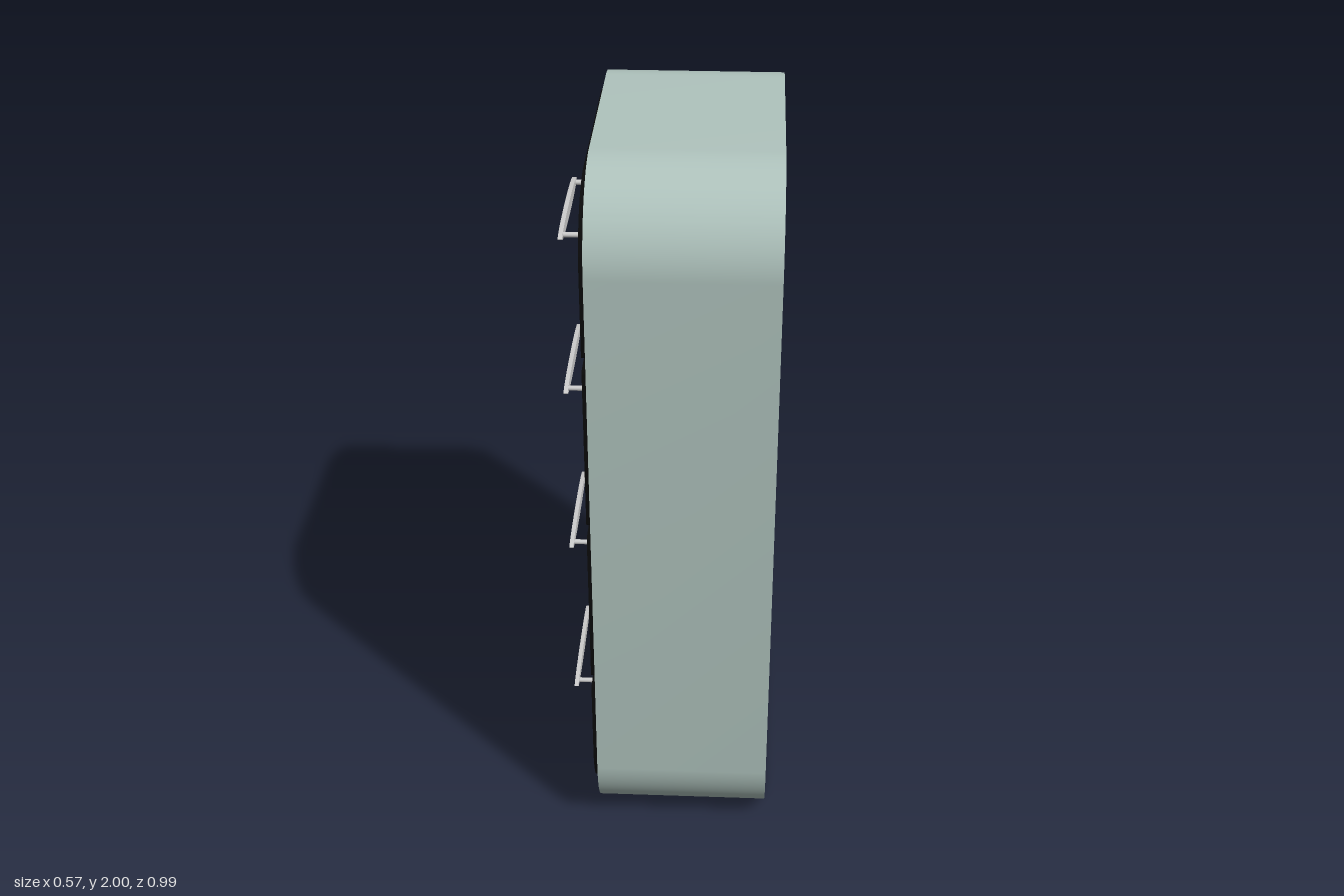
import * as THREE from 'three';
import { toCreasedNormals } from 'three/addons/utils/BufferGeometryUtils.js';

const bodyMat = new THREE.MeshStandardMaterial({ color: 0xb0c4be });
const drawerMat = new THREE.MeshStandardMaterial({ color: 0x0a0a0a });
const handleMat = new THREE.MeshStandardMaterial({ color: 0xcccccc });

// Rectangle in the z-y plane with separate top and bottom corner radii
function panelShape(halfWidth, y0, y1, rBottom, rTop) {
  const s = new THREE.Shape(), w = halfWidth, q = Math.PI / 2;
  s.moveTo(-w + rBottom, y0);
  s.absarc(w - rBottom, y0 + rBottom, rBottom, -q, 0, false);
  s.absarc(w - rTop, y1 - rTop, rTop, 0, q, false);
  s.absarc(-w + rTop, y1 - rTop, rTop, q, 2 * q, false);
  s.absarc(-w + rBottom, y0 + rBottom, rBottom, 2 * q, 3 * q, false);
  return s;
}

// Extrude a z-y shape from xBack towards -x
function slab(name, shape, xBack, xFront, material) {
  const flat = new THREE.ExtrudeGeometry(shape, {
    depth: xBack - xFront, bevelEnabled: false, curveSegments: 20,
  });
  flat.rotateY(-Math.PI / 2).translate(xBack, 0, 0);
  const mesh = new THREE.Mesh(toCreasedNormals(flat, 0.6), material);
  mesh.name = name;
  return mesh;
}

// Slim elliptical grip on two round posts
function makeHandle(y) {
  const handle = new THREE.Group();
  handle.name = 'handle';
  const ellipse = new THREE.Shape();
  ellipse.absellipse(0, 0, 0.197, 0.018, 0, Math.PI * 2, false);
  handle.add(slab('grip', ellipse, -0.272, -0.2835, handleMat));
  for (const side of [-1, 1]) {
    const post = new THREE.Mesh(new THREE.CylinderGeometry(0.007, 0.007, 0.075, 16), handleMat);
    post.name = 'handlePost';
    post.rotation.z = Math.PI / 2;
    post.position.set(-0.2395, 0, side * 0.167);
    handle.add(post);
  }
  handle.position.y = y;
  return handle;
}

export function createModel() {
  const model = new THREE.Group();
  model.name = 'drawerCabinet';

  // Rounded cabinet body
  model.add(slab('cabinetBody', panelShape(0.495, 0, 2, 0.24, 0.24), 0.2835, -0.192, bodyMat));

  // Drawer fronts, bottom to top: [bottom, top, lower radius, upper radius, handle height]
  const big = 0.195, small = 0.012;
  const drawers = [
    [0.055, 0.484, big, small, 0.28],
    [0.521, 0.986, small, small, 0.78],
    [1.023, 1.488, small, small, 1.28],
    [1.521, 1.95, small, big, 1.729],
  ];
  for (const [y0, y1, rBottom, rTop, handleY] of drawers) {
    const drawer = new THREE.Group();
    drawer.name = 'drawer';
    drawer.add(slab('drawerFront', panelShape(0.445, y0, y1, rBottom, rTop), -0.19, -0.207, drawerMat));
    drawer.add(makeHandle(handleY));
    model.add(drawer);
  }
  return model;
}
